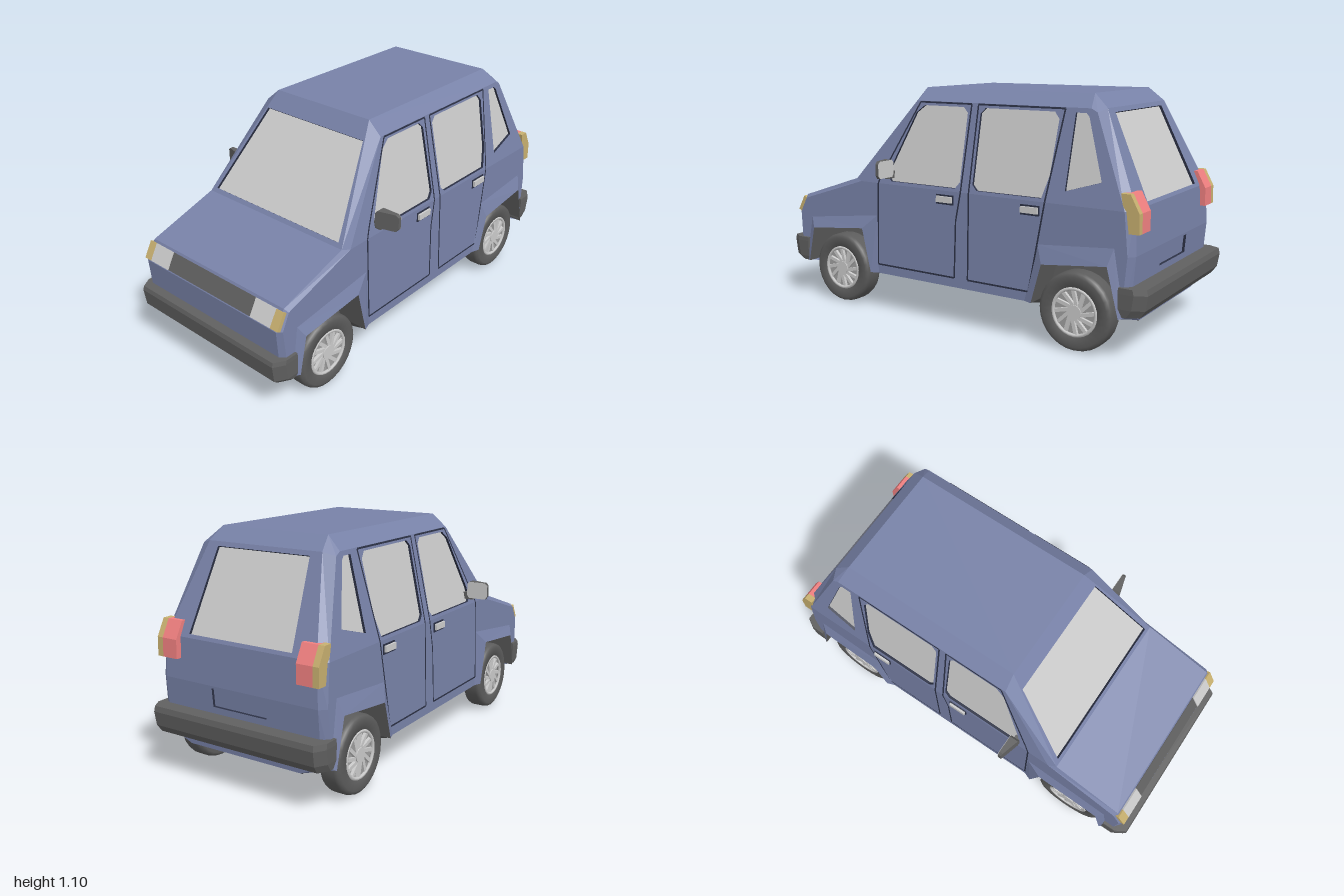
import * as THREE from 'three';

const mat = (color) => new THREE.MeshStandardMaterial({ color, side: THREE.DoubleSide });
const paint = mat(0x7882a8), grey = mat(0xcccccc), dark = mat(0x606060), black = mat(0x333333);
const seam = mat(0x2c3145), red = mat(0xf08080), amber = mat(0xc8b070), tyre = mat(0x5c5c5c), rimGrey = mat(0xa0a0a0);

const BELT = 0.635;
// half width of the body side at height y
const sideZ = (y) => (y > BELT ? 0.435 - (y - BELT) * 0.2125 : 0.435 + (BELT - y) * 0.03);
const sideMap = (x, y, d) => [x, y, sideZ(y) - d];

// centre line: x, y, half width of the middle panel, then x, y of the edge on the side
const profile = [
  [-0.90, 0.15, 0.30, -0.88, 0.19],
  [-0.93, 0.20, 0.41, -0.88, 0.19],
  [-0.95, 0.30, 0.42, -0.93, 0.30],
  [-0.96, 0.44, 0.42, -0.94, 0.44],
  [-0.91, 0.53, 0.42, -0.90, 0.515],
  [-0.56, 0.645, 0.42, -0.52, BELT],
  [-0.22, 1.095, 0.28, -0.225, 1.035],
  [0.67, 1.095, 0.28, 0.69, 1.035],
  [0.74, 1.035, 0.30, 0.72, 1.02],
  [0.925, 0.64, 0.40, 0.89, BELT],
  [0.935, 0.45, 0.41, 0.91, 0.45],
  [0.915, 0.20, 0.41, 0.89, 0.19],
  [0.91, 0.15, 0.30, 0.89, 0.19],
];

// maps (z, fraction along segment i, depth) onto the middle panel
const centreMap = (i) => (u, t, d) => {
  const [a, b] = [profile[i], profile[i + 1]];
  const dx = b[0] - a[0], dy = b[1] - a[1], l = Math.hypot(dx, dy);
  return [a[0] + dx * t + (dy / l) * d, a[1] + dy * t - (dx / l) * d, u];
};

function warp(geo, map) {
  const g = geo.index ? geo.toNonIndexed() : geo, p = g.attributes.position;
  for (let i = 0; i < p.count; i++) p.setXYZ(i, ...map(p.getX(i), p.getY(i), p.getZ(i)));
  g.computeVertexNormals();
  return g;
}
const shapeOf = (pts) => new THREE.Shape(pts.map(([x, y]) => new THREE.Vector2(x, y)));

function panel(outline, holes, map, d = 0) {
  const s = shapeOf(outline);
  s.holes = holes.map(shapeOf);
  return warp(new THREE.ShapeGeometry(s), (x, y) => map(x, y, d));
}

// skin between two rows of 3D points
function loft(a, b, closed = false) {
  const v = [];
  for (let i = 0; i < a.length - (closed ? 0 : 1); i++) {
    const j = (i + 1) % a.length;
    v.push(...a[i], ...a[j], ...b[j], ...a[i], ...b[j], ...b[i]);
  }
  const g = new THREE.BufferGeometry();
  g.setAttribute('position', new THREE.Float32BufferAttribute(v, 3));
  g.computeVertexNormals();
  return g;
}

// box between two corners in the map's own coordinates
function block([u0, v0, d0], [u1, v1, d1], map = (x, y, z) => [x, y, z]) {
  const lerp = (a, b, t) => a + (b - a) * (t + 0.5);
  return warp(new THREE.BoxGeometry(1, 1, 1), (x, y, z) => map(lerp(u0, u1, x), lerp(v0, v1, y), lerp(d0, d1, z)));
}

// copy across z = 0, keeping faces outward
function mirrored(geo) {
  const g = geo.index ? geo.toNonIndexed() : geo.clone();
  for (const name of ['position', 'normal']) {
    const a = g.attributes[name], v = new THREE.Vector3();
    for (let i = 0; i < a.count; i += 3) {
      const tri = [0, 2, 1].map((k) => v.fromBufferAttribute(a, i + k).toArray());
      tri.forEach(([x, y, z], k) => a.setXYZ(i + k, x, y, -z));
    }
  }
  return g;
}

export function createModel() {
  const car = new THREE.Group();
  car.name = 'car';
  const add = (name, geo, m) => {
    const mesh = new THREE.Mesh(geo, m);
    mesh.name = name;
    car.add(mesh);
  };
  const both = (name, geo, m) => {
    add(name + 'A', geo, m);
    add(name + 'B', mirrored(geo), m);
  };
  // recessed pane with its reveal
  const pane = (name, pts, map, m, put) => {
    put(name, panel(pts, [], map, 0.012), m);
    put(name + 'Reveal', loft(pts.map(([u, v]) => map(u, v, 0)), pts.map(([u, v]) => map(u, v, 0.014)), true), seam);
  };

  // middle panels: nose, hood, windscreen, roof, tail
  const holes = {
    5: ['windscreen', [[-0.39, 0.04], [0.39, 0.04], [0.295, 0.83], [-0.295, 0.83]], grey],
    8: ['rearWindow', [[-0.245, 0.05], [0.245, 0.05], [0.275, 0.96], [-0.275, 0.96]], grey],
    10: ['plateRecess', [[-0.145, 0.04], [0.145, 0.04], [0.145, 0.38], [-0.145, 0.38]], paint],
  };
  for (let i = 0; i < profile.length - 1; i++) {
    const a = profile[i][2], b = profile[i + 1][2], h = holes[i];
    add('bodyPanel' + i, panel([[-a, 0], [a, 0], [b, 1], [-b, 1]], h ? [h[1]] : [], centreMap(i)), paint);
    if (h) pane(h[0], h[1], centreMap(i), h[2], add);
  }
  // bevelled edges between middle panels and sides
  both('bodyEdge', loft(profile.map((p) => [p[0], p[1], p[2]]), profile.map((p) => [p[3], p[4], sideZ(p[4])])), paint);

  // side windows and upper sides
  const windows = [
    [[-0.33, 0.65], [-0.35, 0.67], [-0.34, 0.72], [-0.225, 0.98], [-0.18, 1.015], [0.045, 1.015], [0.07, 0.99], [0.07, 0.68], [0.045, 0.65]],
    [[0.165, 0.65], [0.14, 0.675], [0.14, 0.99], [0.165, 1.015], [0.52, 1.015], [0.545, 0.985], [0.53, 0.75], [0.50, 0.65]],
    [[0.61, 0.69], [0.62, 1.015], [0.67, 1.015], [0.685, 1.0], [0.775, 0.74]],
  ];
  both('upperSide', panel([[-0.52, BELT], [-0.225, 1.035], [0.69, 1.035], [0.72, 1.02], [0.89, BELT]], windows, sideMap), paint);
  windows.forEach((w, i) => pane('sideWindow' + i, w, sideMap, grey, both));

  // lower sides with wheel arches cut out
  const arches = [
    [[-0.87, 0.19], [-0.83, 0.37], [-0.50, 0.405], [-0.45, 0.19]],
    [[0.47, 0.19], [0.52, 0.37], [0.83, 0.405], [0.885, 0.19]],
  ];
  both('lowerSide', panel([
    ...arches[0], ...arches[1], [0.89, 0.19], [0.91, 0.45], [0.89, BELT],
    [-0.52, BELT], [-0.90, 0.515], [-0.94, 0.44], [-0.93, 0.30], [-0.88, 0.19],
  ], [], sideMap), paint);

  // flared arches with dark wells
  const flares = [
    [[-0.90, 0.20], [-0.86, 0.42], [-0.42, 0.475], [-0.41, 0.19]],
    [[0.43, 0.19], [0.49, 0.45], [0.85, 0.48], [0.905, 0.20]],
  ];
  arches.forEach((arch, i) => {
    const lip = arch.map(([x, y]) => [x, y, 0.463]);
    both('archFlare' + i, loft(flares[i].map(([x, y]) => sideMap(x, y, 0)), lip), paint);
    both('wheelWell' + i, loft(lip, arch.map(([x, y]) => [x, y, 0.31])), dark);
    both('wellBack' + i, panel([...arch, [arch[3][0], 0.15], [arch[0][0], 0.15]], [], (x, y) => [x, y, 0.31]), dark);
  });

  // underside and sills
  add('underside', panel([[-0.90, -0.31], [0.91, -0.31], [0.91, 0.31], [-0.90, 0.31]], [], (x, z) => [x, 0.15, z]), black);
  both('sill', loft([[-0.45, 0.19, sideZ(0.19)], [0.47, 0.19, sideZ(0.19)]], [[-0.45, 0.15, 0.30], [0.47, 0.15, 0.30]]), black);

  // door seams
  const doors = [
    [[-0.41, BELT], [-0.41, 0.235], [0.05, 0.235], [0.055, 0.50], [0.08, BELT], [0.088, 1.03], [-0.205, 1.03], [-0.39, 0.68], [-0.41, BELT]],
    [[0.125, BELT], [0.125, 0.235], [0.45, 0.235], [0.52, BELT], [0.57, 1.03], [0.125, 1.03], [0.125, BELT]],
  ];
  doors.forEach((line, n) => {
    for (let i = 0; i < line.length - 1; i++) {
      const [a, b] = [line[i], line[i + 1]], w = 0.004;
      const l = Math.hypot(b[0] - a[0], b[1] - a[1]), nx = (-(b[1] - a[1]) / l) * w, ny = ((b[0] - a[0]) / l) * w;
      const edge = (s) => [a, b].map(([x, y]) => sideMap(x + nx * s, y + ny * s, -0.002));
      both(`doorSeam${n}_${i}`, loft(edge(1), edge(-1)), seam);
    }
  });
  // door handles
  for (const x of [-0.055, 0.40]) {
    both('handleRecess', block([x, 0.572, 0], [x + 0.095, 0.617, -0.004], sideMap), seam);
    both('handle', block([x + 0.005, 0.582, 0], [x + 0.09, 0.61, -0.014], sideMap), grey);
  }

  // grille and headlights on the slanted nose
  add('grille', block([-0.27, 0.06, 0.01], [0.27, 0.88, -0.003], centreMap(3)), dark);
  both('headlight', block([0.27, 0.06, 0.01], [0.39, 0.88, -0.008], centreMap(3)), grey);
  both('frontIndicator', block([0.39, 0.06, 0.03], [0.433, 0.88, -0.008], centreMap(3)), amber);

  // tail lamps
  const lamp = shapeOf([[0.87, 0.707], [0.912, 0.707], [0.953, 0.63], [0.955, 0.545], [0.90, 0.545]]);
  const lampGeo = (z, depth) => new THREE.ExtrudeGeometry(lamp, { depth, bevelEnabled: false }).translate(0, 0, z);
  both('tailLamp', lampGeo(0.32, 0.08), red);
  both('rearIndicator', lampGeo(0.40, 0.03), amber);

  // wrap-around bumpers, drawn in plan and chamfered underneath
  for (const s of [-1, 1]) {
    const plan = [[0.88, -0.46], [0.95, -0.46], [1, -0.43], [1, 0.43], [0.95, 0.46], [0.88, 0.46]];
    const row = (y, shrink) => plan.map(([x, z]) => [s * (x > 0.9 ? x - shrink : x), y, z * (1 - shrink * 0.4)]);
    const rows = s > 0 ? [row(0.325, 0.006), row(0.30, 0), row(0.235, 0.01), row(0.20, 0.035)]
      : [row(0.31, 0.006), row(0.29, 0), row(0.21, 0.01), row(0.19, 0.035)];
    for (let i = 0; i < 3; i++) add('bumper' + i, loft(rows[i], rows[i + 1], true), dark);
    for (const r of [rows[0], rows[3]]) add('bumperCap', panel(r.map((p) => [p[0], p[2]]), [], (x, z) => [x, r[0][1], z]), dark);
  }

  // door mirrors
  const face = [[0.445, 0.675], [0.53, 0.675], [0.543, 0.69], [0.543, 0.745], [0.53, 0.757], [0.445, 0.757], [0.435, 0.745], [0.435, 0.69]];
  both('mirrorHousing', warp(new THREE.ExtrudeGeometry(shapeOf(face), { depth: 1, bevelEnabled: false }),
    (z, y, t) => [-0.315 - t * (0.045 - (z - 0.435) * 0.28), y, z]), dark);
  both('mirrorGlass', panel(face, [], (z, y) => [-0.313, y, z]), grey);
  both('mirrorArm', block([-0.35, 0.665, 0.41], [-0.325, 0.70, 0.46]), dark);

  // wheels
  const tyreProfile = [[0.105, 0.345], [0.155, 0.335], [0.17, 0.345], [0.175, 0.36], [0.175, 0.415], [0.17, 0.43], [0.155, 0.438], [0.112, 0.436], [0.105, 0.415]];
  const tyreGeo = new THREE.LatheGeometry(tyreProfile.map(([r, h]) => new THREE.Vector2(r, h)), 28).rotateX(Math.PI / 2);
  const disc = (r, z0, z1) => new THREE.CylinderGeometry(r, r, z1 - z0, 28).rotateX(Math.PI / 2).translate(0, 0, (z0 + z1) / 2);
  for (const x of [-0.667, 0.667]) {
    const at = (g) => g.clone().translate(x, 0.175, 0);
    both('tyre', at(tyreGeo), tyre);
    both('rimDisc', at(disc(0.107, 0.36, 0.418)), rimGrey);
    both('rimRing', at(new THREE.TorusGeometry(0.103, 0.008, 6, 28).translate(0, 0, 0.43)), grey);
    both('hub', at(disc(0.033, 0.41, 0.436)), grey);
    for (let i = 0; i < 12; i++) {
      const spoke = new THREE.BoxGeometry(0.075, 0.016, 0.016).rotateZ(0.25).translate(0.066, 0, 0.424);
      both('spoke', at(spoke.rotateZ((i * Math.PI) / 6)), grey);
    }
  }
  return car;
}
